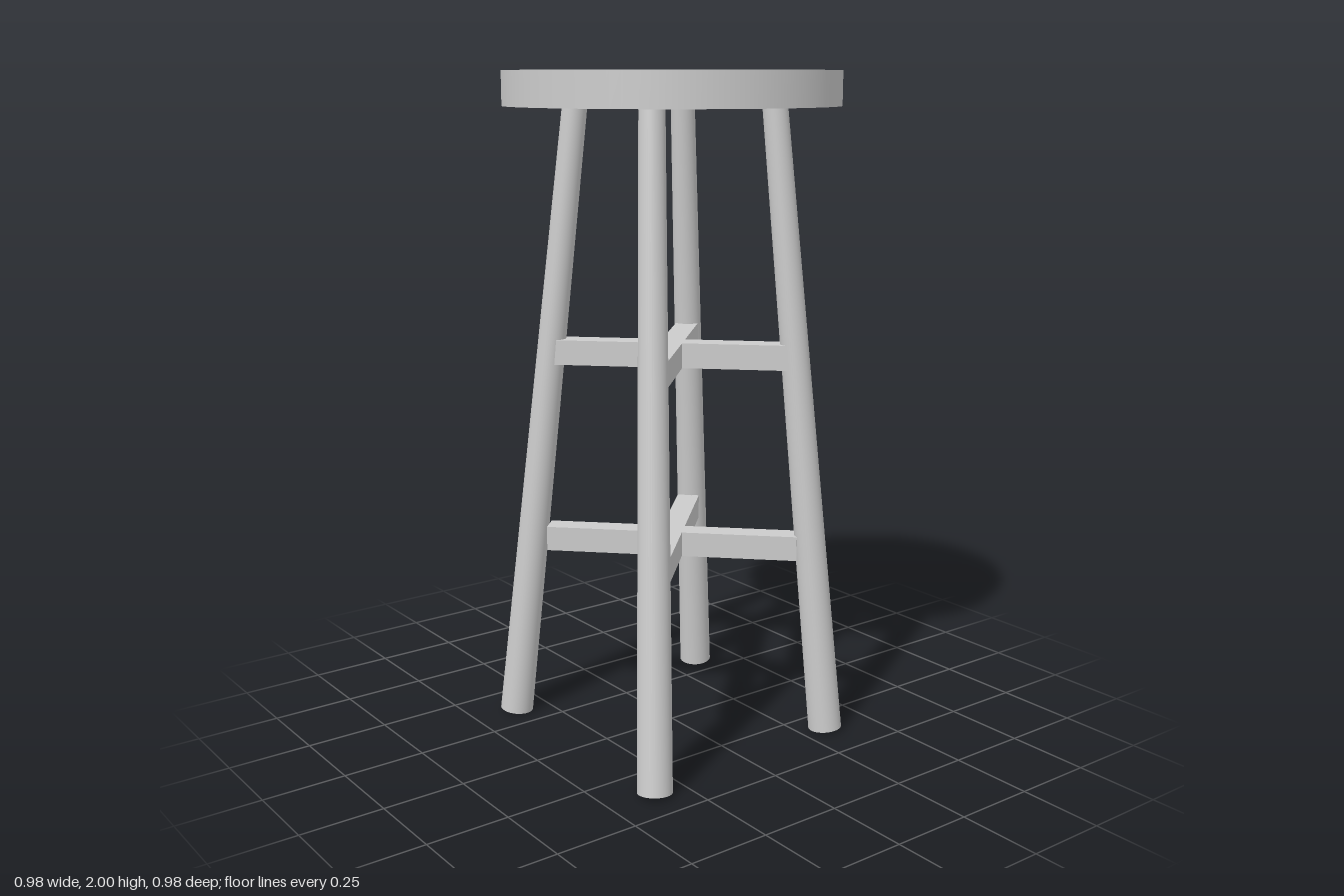
import * as THREE from 'three';

export function createModel() {
  const group = new THREE.Group();
  const material = new THREE.MeshStandardMaterial({ color: 0xcccccc });
  const add = (name, geometry) => {
    const mesh = new THREE.Mesh(geometry, material);
    mesh.name = name;
    group.add(mesh);
    return mesh;
  };

  // Round seat
  add('seat', new THREE.CylinderGeometry(0.49, 0.49, 0.1, 96)).position.y = 1.95;

  // Tapered, splayed legs: [name, foot x, foot z, top x, top z]
  const legs = [
    ['frontLeftLeg', 0.335, 0.345, 0.215, 0.205],
    ['frontRightLeg', -0.35, 0.385, -0.2, 0.175],
    ['backLeftLeg', 0.36, -0.345, 0.195, -0.205],
    ['backRightLeg', -0.355, -0.355, -0.2, -0.205],
  ];
  const up = new THREE.Vector3(0, 1, 0);
  for (const [name, fx, fz, tx, tz] of legs) {
    const foot = new THREE.Vector3(fx, 0.007, fz);
    const top = new THREE.Vector3(tx, 1.91, tz);
    const axis = top.clone().sub(foot);
    const leg = add(name, new THREE.CylinderGeometry(0.037, 0.051, axis.length(), 40));
    leg.position.copy(foot).add(top).multiplyScalar(0.5);
    leg.quaternion.setFromUnitVectors(up, axis.normalize());
  }

  // Two tiers of crossed diagonal stretchers
  const tiers = [['lower', 0.5875, 0.77], ['upper', 1.1725, 0.72]];
  for (const [tier, y, length] of tiers) {
    for (const side of [-1, 1]) {
      const bar = add(`${tier}Stretcher`, new THREE.BoxGeometry(length, 0.075, 0.07));
      bar.position.y = y;
      bar.rotation.y = side * Math.PI / 4;
    }
  }
  return group;
}
